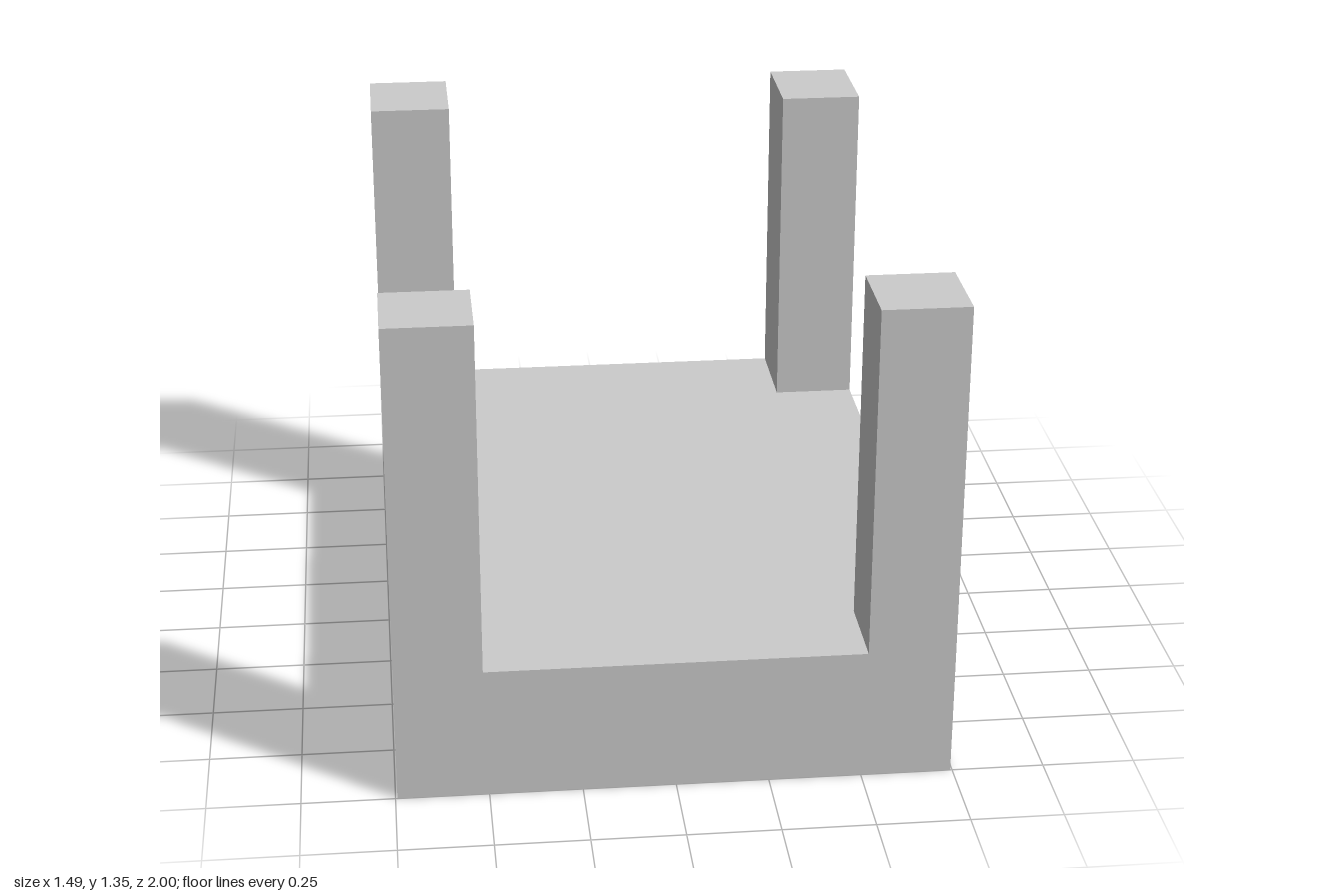
import * as THREE from 'three';

const WIDTH = 1.49, DEPTH = 2, SLAB_HEIGHT = 0.37, TOTAL_HEIGHT = 1.35;
const POST_WIDTH = 0.235, FRONT_POST_DEPTH = 0.24, BACK_POST_DEPTH = 0.28;

export function createModel() {
  const model = new THREE.Group();
  model.name = 'fourPostBase';
  const material = new THREE.MeshStandardMaterial({ color: 0xcccccc, flatShading: true });

  // Box resting with its underside at the given height
  function addBox(name, w, h, d, x, bottom, z) {
    const mesh = new THREE.Mesh(new THREE.BoxGeometry(w, h, d), material);
    mesh.name = name;
    mesh.position.set(x, bottom + h / 2, z);
    model.add(mesh);
  }

  // Thick solid base
  addBox('baseSlab', WIDTH, SLAB_HEIGHT, DEPTH, 0, 0, 0);

  // Corner posts, flush with the outer sides; the back pair is slightly deeper
  for (const [sideName, sx] of [['Left', 1], ['Right', -1]]) {
    for (const [endName, sz, depth] of [['front', 1, FRONT_POST_DEPTH], ['back', -1, BACK_POST_DEPTH]]) {
      addBox(`${endName}${sideName}Post`, POST_WIDTH, TOTAL_HEIGHT - SLAB_HEIGHT, depth,
        sx * (WIDTH - POST_WIDTH) / 2, SLAB_HEIGHT, sz * (DEPTH - depth) / 2);
    }
  }
  return model;
}
